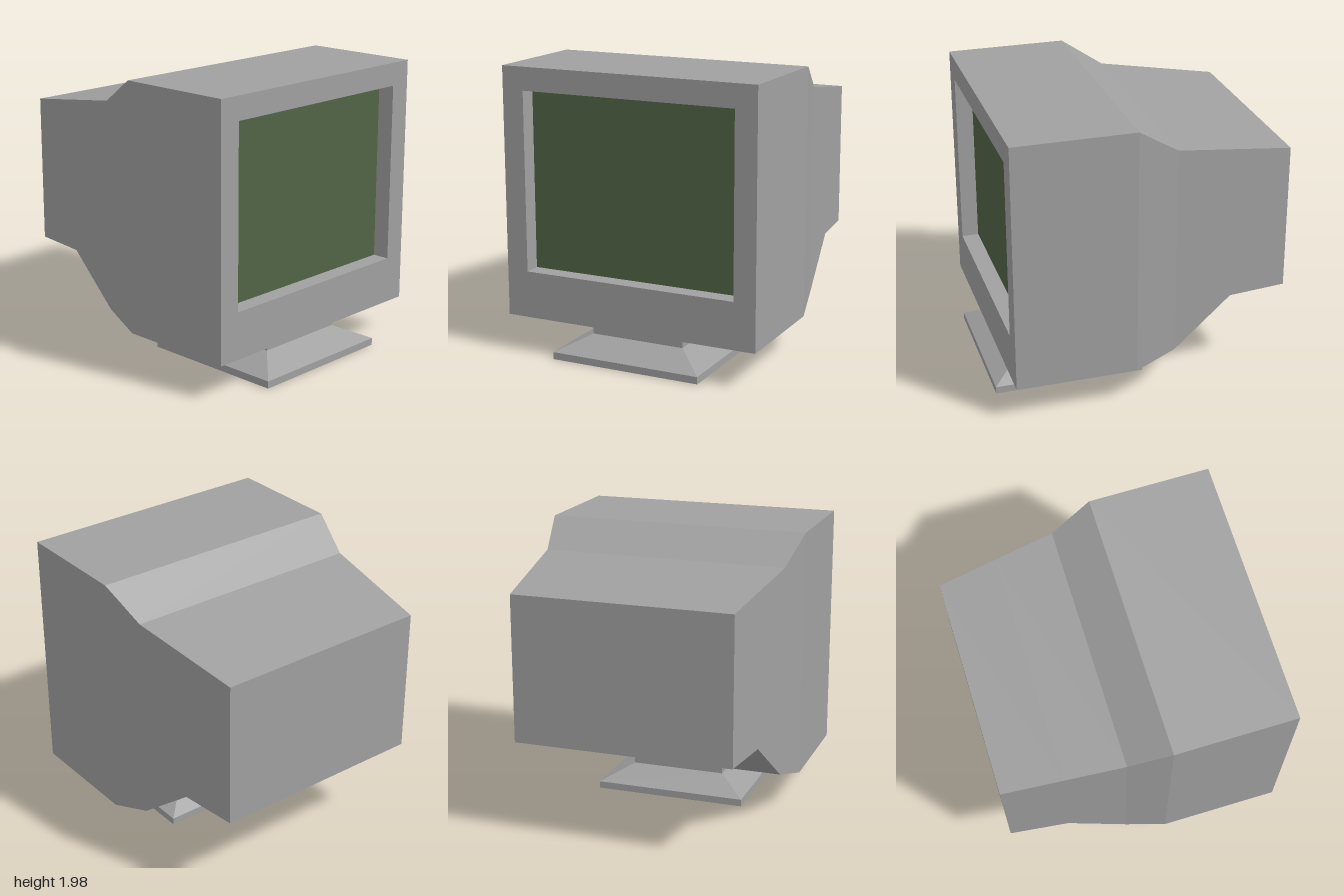
import * as THREE from 'three';

// Joins four-cornered rings into a faceted skin; corners run counter-clockwise seen from the end.
function loft(rings, capStart, capEnd) {
  const pos = [];
  const quad = (a, b, c, d) => pos.push(...a, ...b, ...c, ...a, ...c, ...d);
  for (let r = 0; r < rings.length - 1; r++) {
    const a = rings[r], b = rings[r + 1];
    for (let i = 0; i < 4; i++) {
      const j = (i + 1) % 4;
      quad(a[i], a[j], b[j], b[i]);
    }
  }
  if (capStart) quad(...[...rings[0]].reverse());
  if (capEnd) quad(...rings[rings.length - 1]);
  const geo = new THREE.BufferGeometry();
  geo.setAttribute('position', new THREE.Float32BufferAttribute(pos, 3));
  geo.computeVertexNormals();
  return geo;
}

// Upright ring facing +x, and level ring facing +y
const ringX = ([x, y0, y1, z]) => [[x, y0, z], [x, y0, -z], [x, y1, -z], [x, y1, z]];
const ringY = ([y, x0, x1, z]) => [[x0, y, z], [x1, y, z], [x1, y, -z], [x0, y, -z]];

export function createModel() {
  const group = new THREE.Group();
  const casingGrey = new THREE.MeshStandardMaterial({ color: 0xa0a0a0 });
  casingGrey.name = 'casingGrey';
  const screenGreen = new THREE.MeshStandardMaterial({ color: 0x506446 });
  screenGreen.name = 'screenGreen';

  const add = (name, geo, mat) => {
    const mesh = new THREE.Mesh(geo, mat);
    mesh.name = name;
    group.add(mesh);
    return mesh;
  };

  // Screen opening
  const y0 = 0.575, y1 = 1.82, halfW = 0.768, screenX = 0.82;

  // Casing from the back to the front, then bezel and recess walls
  const sections = [
    [-1, 0.655, 1.675, 0.762],
    [-0.59, 0.655, 1.735, 0.81],
    [-0.18, 0.33, 1.795, 0.858],
    [0.105, 0.25, 1.98, 0.923],
    [0.94, 0.25, 1.98, 0.923],
    [0.94, y0, y1, halfW],
    [screenX, y0, y1, halfW],
  ];
  add('casing', loft(sections.map(ringX), true, false), casingGrey);

  // Recessed screen
  const screen = add('screen', new THREE.PlaneGeometry(halfW * 2, y1 - y0), screenGreen);
  screen.rotation.y = Math.PI / 2;
  screen.position.set(screenX, (y0 + y1) / 2, 0);

  // Stand: flat foot, sloped skirt and neck
  const stand = [
    [0, -0.055, 1, 0.542],
    [0.05, -0.055, 1, 0.542],
    [0.152, 0.145, 0.8, 0.338],
    [0.25, 0.145, 0.8, 0.338],
  ];
  add('stand', loft(stand.map(ringY), true, false), casingGrey);

  return group;
}
